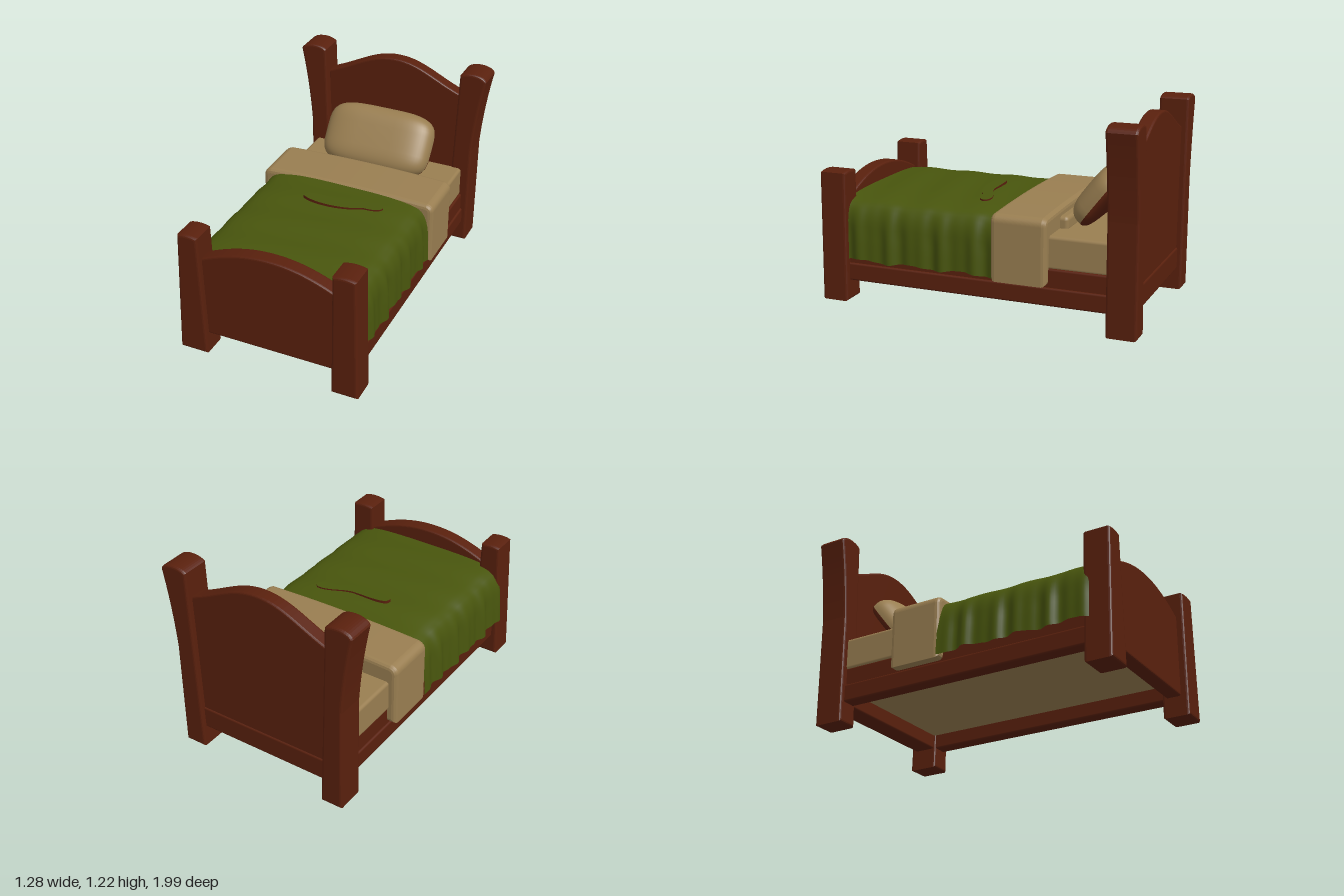
import * as THREE from 'three';
import { RoundedBoxGeometry } from 'three/addons/geometries/RoundedBoxGeometry.js';

const mat = (name, color, extra = {}) => {
  const m = new THREE.MeshStandardMaterial({ color, ...extra });
  m.name = name;
  return m;
};

export function createModel() {
  const wood = mat('wood', 0x59200d);
  const linen = mat('linen', 0x997e51);
  const green = mat('blanketGreen', 0x48550d, { side: THREE.DoubleSide });
  const bed = new THREE.Group();
  bed.name = 'bed';

  const add = (name, geo, material) => {
    const m = new THREE.Mesh(geo, material);
    m.name = name;
    bed.add(m);
    return m;
  };
  // box given by its limits on each axis
  const box = (name, material, x0, x1, y0, y1, z0, z1, r = 0.012) => {
    const m = add(name, new RoundedBoxGeometry(x1 - x0, y1 - y0, z1 - z0, 2, r), material);
    m.position.set((x0 + x1) / 2, (y0 + y1) / 2, (z0 + z1) / 2);
    return m;
  };
  // front outline pushed back from z0 to z1, with softened edges
  const slab = (name, material, shape, z0, z1, b = 0.012) => {
    const geo = new THREE.ExtrudeGeometry(shape, {
      depth: z1 - z0 - 2 * b, bevelThickness: b, bevelSize: b, bevelOffset: -b,
      bevelSegments: 3, curveSegments: 14,
    });
    geo.translate(0, 0, z0 + b);
    return add(name, geo, material);
  };

  for (const s of [1, -1]) {
    const side = s > 0 ? 'Left' : 'Right';
    // flared head posts with crowned tops
    const head = new THREE.Shape();
    head.moveTo(s * 0.425, 0);
    head.lineTo(s * 0.565, 0);
    head.lineTo(s * 0.57, 0.68);
    head.quadraticCurveTo(s * 0.59, 0.95, s * 0.64, 1.185);
    head.bezierCurveTo(s * 0.62, 1.235, s * 0.5, 1.235, s * 0.466, 1.2);
    head.lineTo(s * 0.452, 0.8);
    head.lineTo(s * 0.425, 0);
    slab('headPost' + side, wood, head, -0.99, -0.805, 0.015);

    // tapered foot posts, the right one leaning in a little
    const top = s > 0 ? 0.562 : 0.545;
    const inner = s > 0 ? 0.41 : 0.395;
    const foot = new THREE.Shape();
    foot.moveTo(s * inner, 0.005);
    foot.lineTo(s * 0.575, 0.005);
    foot.lineTo(s * top, 0.8);
    foot.quadraticCurveTo(s * 0.49, 0.82, s * 0.418, 0.8);
    foot.lineTo(s * inner, 0.005);
    const z = s > 0 ? 0.83 : 0.82;
    slab('footPost' + side, wood, foot, z, z + 0.168, 0.016);

    // side rails in two steps
    const lo = s > 0 ? 0.44 : -0.535, hi = s > 0 ? 0.535 : -0.44;
    box('sideRail' + side, wood, lo, hi, 0.13, 0.24, -0.83, 0.86);
    box('sideRailTop' + side, wood, lo + 0.012, hi - 0.012, 0.22, 0.35, -0.83, 0.86);
  }

  // arched boards
  const headboard = new THREE.Shape();
  headboard.moveTo(-0.47, 0.13);
  headboard.lineTo(0.47, 0.13);
  headboard.lineTo(0.47, 1.035);
  headboard.bezierCurveTo(0.27, 1.11, 0.17, 1.205, 0, 1.205);
  headboard.bezierCurveTo(-0.17, 1.205, -0.27, 1.11, -0.47, 1.035);
  slab('headboard', wood, headboard, -0.95, -0.86);
  box('headRail', wood, -0.45, 0.45, 0.13, 0.27, -0.958, -0.82);

  const footboard = new THREE.Shape();
  footboard.moveTo(-0.43, 0.13);
  footboard.lineTo(0.43, 0.13);
  footboard.lineTo(0.43, 0.645);
  footboard.bezierCurveTo(0.25, 0.73, 0.12, 0.752, 0, 0.752);
  footboard.bezierCurveTo(-0.12, 0.752, -0.25, 0.73, -0.43, 0.645);
  slab('footboard', wood, footboard, 0.855, 0.95);

  // mattress and its base
  box('mattress', linen, -0.53, 0.51, 0.34, 0.54, -0.825, 0.85, 0.02);
  box('mattressBase', linen, -0.45, 0.45, 0.22, 0.36, -0.84, 0.86);
  box('tuckedSheet', linen, -0.35, 0.33, 0.52, 0.61, -0.5, -0.4, 0.025);

  // folded sheet, an upside-down U over the mattress
  const fold = new THREE.Shape();
  fold.moveTo(-0.578, 0.25);
  fold.lineTo(-0.578, 0.6);
  fold.quadraticCurveTo(-0.575, 0.64, -0.53, 0.65);
  fold.quadraticCurveTo(0, 0.675, 0.53, 0.65);
  fold.quadraticCurveTo(0.572, 0.64, 0.572, 0.6);
  fold.lineTo(0.572, 0.25);
  fold.lineTo(0.49, 0.25);
  fold.lineTo(0.49, 0.5);
  fold.lineTo(-0.49, 0.5);
  fold.lineTo(-0.49, 0.25);
  fold.closePath();
  slab('foldedSheet', linen, fold, -0.45, -0.11, 0.028);

  // blanket: a cross-section swept along the bed, rippling where it hangs
  const half = [[0.562, 0.27], [0.558, 0.42], [0.545, 0.54], [0.505, 0.61], [0.4, 0.64]];
  const section = new THREE.CatmullRomCurve3([
    ...half.map(([x, y]) => new THREE.Vector3(-x - (0.64 - y) * 0.04, y, 0)),
    new THREE.Vector3(0, 0.655, 0),
    ...half.slice().reverse().map(([x, y]) => new THREE.Vector3(x - 0.008, y, 0)),
  ]);
  const blanket = new THREE.PlaneGeometry(1, 1, 50, 70);
  const p = blanket.attributes.position;
  for (let i = 0; i < p.count; i++) {
    const c = section.getPointAt(THREE.MathUtils.clamp(p.getX(i) + 0.5, 0, 1));
    const z = 0.368 - p.getY(i) * 0.98;
    const hang = THREE.MathUtils.clamp((0.63 - c.y) / 0.2, 0, 1);
    const s = Math.sign(c.x);
    const wave = Math.sin(z * 35 + s) * 0.6 + Math.sin(z * 57 + s * 2) * 0.4;
    const crease = Math.sin(z * 21 + c.x * 3) * 0.003 * (1 - hang);
    p.setXYZ(i, c.x + s * hang * 0.016 * wave,
      c.y + crease + hang * 0.008 * Math.sin(z * 19), z);
  }
  blanket.computeVertexNormals();
  add('blanket', blanket, green);

  // worn flap on the blanket, lifted at one end to bare a brown edge
  const flap = new THREE.Shape();
  flap.moveTo(-0.18, -0.12);
  flap.bezierCurveTo(-0.19, -0.05, -0.06, -0.07, 0.06, -0.07);
  flap.bezierCurveTo(0.15, -0.06, 0.2, 0, 0.29, -0.01);
  flap.bezierCurveTo(0.34, -0.04, 0.3, -0.09, 0.2, -0.09);
  flap.bezierCurveTo(0.1, -0.16, -0.1, -0.17, -0.18, -0.12);
  const flapGeo = new THREE.ExtrudeGeometry(flap, { depth: 0.02, bevelEnabled: false });
  flapGeo.rotateX(-Math.PI / 2);
  const flapMesh = add('blanketFlap', flapGeo, [green, wood]);
  flapMesh.position.y = 0.65;
  flapMesh.rotation.z = -0.03;

  // pillow: squared-off half ellipsoids, linen front and brown backing
  const pillow = new THREE.Group();
  pillow.name = 'pillow';
  const soft = (v, e) => Math.sign(v) * Math.pow(Math.abs(v), e);
  for (const [name, start, depth, material] of [
    ['pillowFront', 0, 0.125, linen], ['pillowBack', Math.PI, 0.055, wood]]) {
    const geo = new THREE.SphereGeometry(1, 28, 28, start, Math.PI);
    const q = geo.attributes.position;
    for (let i = 0; i < q.count; i++) {
      q.setXYZ(i, 0.365 * soft(q.getX(i), 0.5), 0.21 * soft(q.getY(i), 0.5),
        depth * soft(q.getZ(i), 0.8));
    }
    geo.computeVertexNormals();
    const m = new THREE.Mesh(geo, material);
    m.name = name;
    pillow.add(m);
  }
  pillow.position.set(-0.015, 0.708, -0.668);
  pillow.rotation.x = -0.66;
  bed.add(pillow);

  return bed;
}
